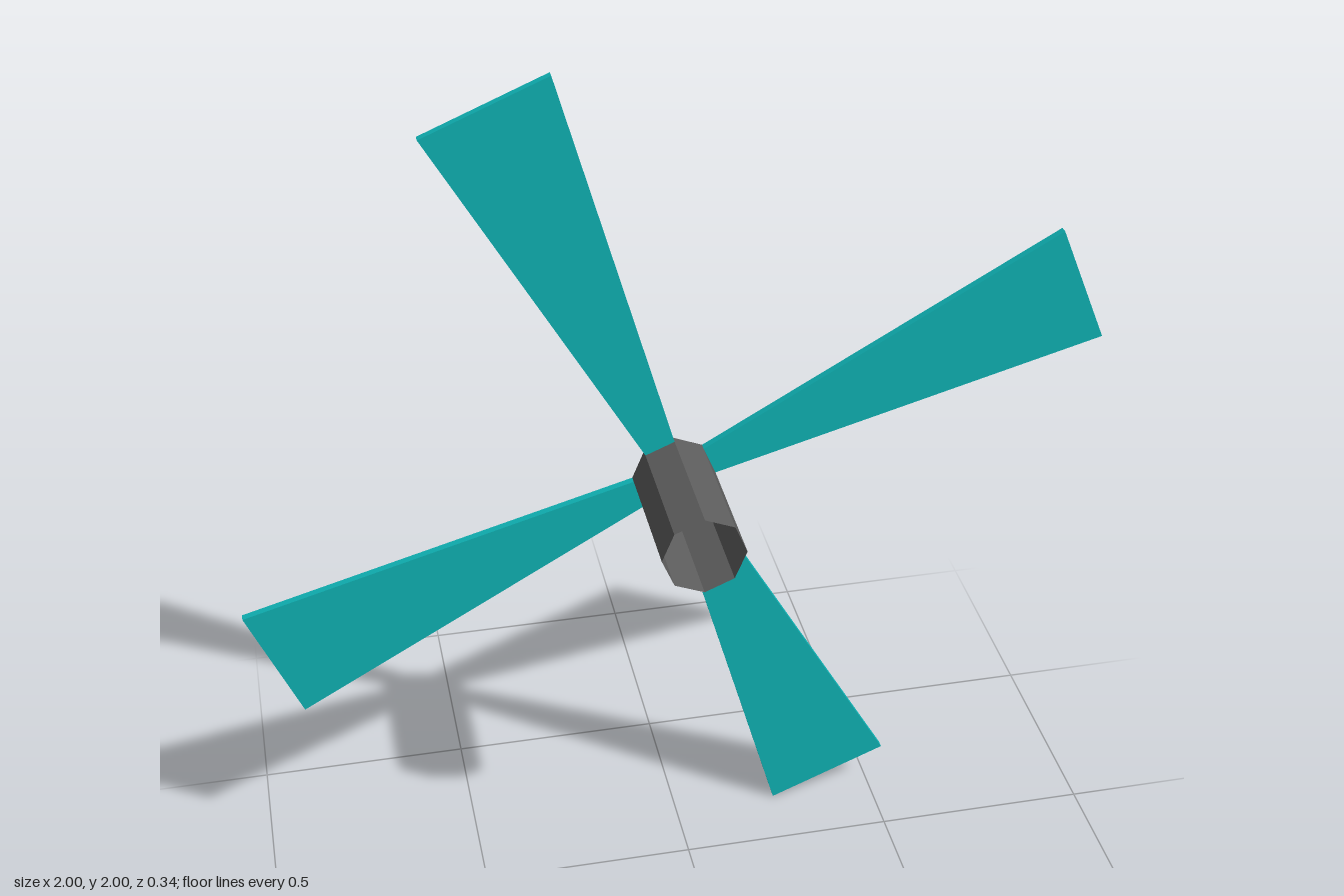
import * as THREE from 'three';

const HUB_R = 0.095, HALF_DEPTH = 0.17, SIDES = 8;

export function createModel() {
  const model = new THREE.Group();
  const hubMat = new THREE.MeshStandardMaterial({ color: 0x5e5e5e, flatShading: true, side: THREE.DoubleSide });
  const bladeMat = new THREE.MeshStandardMaterial({ color: 0x0fb4b6, flatShading: true });

  const rotor = new THREE.Group();
  rotor.name = 'rotor';
  rotor.position.y = 1;
  model.add(rotor);

  // Octagonal hub sleeve, open at the front
  const sleeve = new THREE.Mesh(
    new THREE.CylinderGeometry(HUB_R, HUB_R, 2 * HALF_DEPTH, SIDES, 1, true).rotateX(Math.PI / 2), hubMat);
  sleeve.name = 'hubSleeve';
  rotor.add(sleeve);

  // Cap closing the back of the hub
  const cap = new THREE.Mesh(new THREE.CircleGeometry(HUB_R, SIDES).rotateY(Math.PI), hubMat);
  cap.name = 'hubBackCap';
  cap.position.z = -HALF_DEPTH;
  rotor.add(cap);

  // Flat tapered blades, each growing from one side of the octagon
  const inner = HUB_R * Math.cos(Math.PI / SIDES), innerHalf = HUB_R * Math.sin(Math.PI / SIDES);
  const outer = 1.02, outerHalf = 0.151;
  const outline = new THREE.Shape([
    new THREE.Vector2(inner, -innerHalf), new THREE.Vector2(outer, -outerHalf),
    new THREE.Vector2(outer, outerHalf), new THREE.Vector2(inner, innerHalf),
  ]);
  const bladeGeo = new THREE.ExtrudeGeometry(outline, { depth: 0.018, bevelEnabled: false });
  for (let i = 0; i < 4; i++) {
    const blade = new THREE.Mesh(bladeGeo, bladeMat);
    blade.name = `blade${i + 1}`;
    blade.position.z = -HALF_DEPTH;
    blade.rotation.z = Math.PI / 8 + i * Math.PI / 2;
    rotor.add(blade);
  }
  return model;
}
